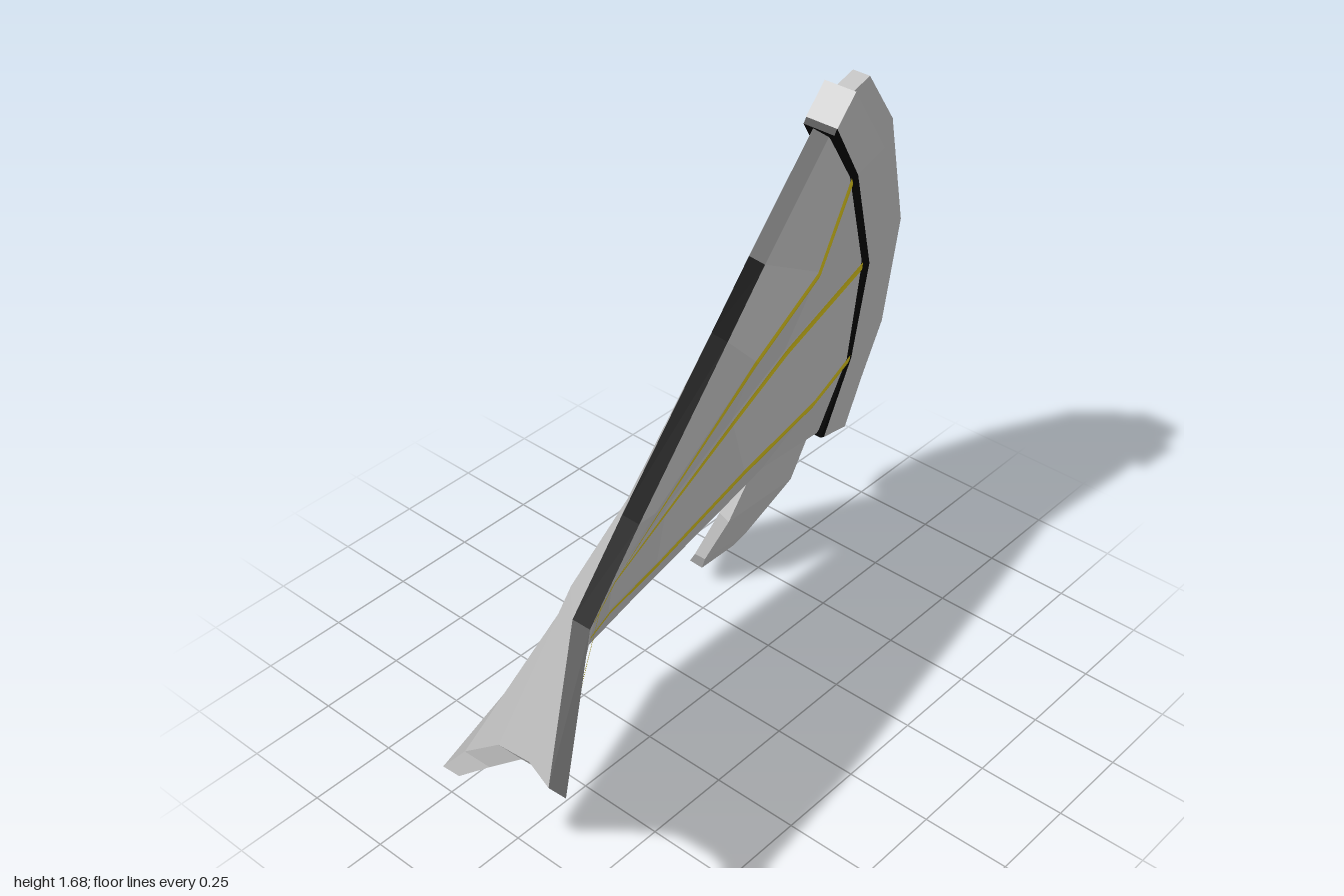
import * as THREE from 'three';

const grey = new THREE.MeshStandardMaterial({ color: 0xc2c2c2 });
grey.name = 'plate grey';
const black = new THREE.MeshStandardMaterial({ color: 0x020202 });
black.name = 'edge black';
const yellow = new THREE.MeshStandardMaterial({ color: 0xd4bf1c });
yellow.name = 'line yellow';

const vec = (p) => new THREE.Vector3(...p);

// Faceted sheet: columns run left to right, points in a column run top to bottom.
// Each four-sided facet is split on its shorter diagonal and shaded with one normal.
function sheet(name, columns, material) {
  const pos = [], nor = [];
  for (let i = 0; i < columns.length - 1; i++) {
    for (let j = 0; j < columns[i].length - 1; j++) {
      const [a, b, c, d] = [columns[i][j], columns[i][j + 1], columns[i + 1][j + 1], columns[i + 1][j]];
      const ac = vec(c).sub(vec(a)), bd = vec(d).sub(vec(b));
      if (ac.length() < bd.length()) pos.push(...a, ...b, ...c, ...a, ...c, ...d);
      else pos.push(...a, ...b, ...d, ...b, ...c, ...d);
      const n = ac.cross(bd).normalize().toArray();
      for (let k = 0; k < 6; k++) nor.push(...n);
    }
  }
  const geometry = new THREE.BufferGeometry();
  geometry.setAttribute('position', new THREE.Float32BufferAttribute(pos, 3));
  geometry.setAttribute('normal', new THREE.Float32BufferAttribute(nor, 3));
  const mesh = new THREE.Mesh(geometry, material);
  mesh.name = name;
  return mesh;
}

// Solid bar from four corner paths: front left, front right, back right, back left
function bar(name, paths, faceMaterial, sideMaterial) {
  const group = new THREE.Group();
  group.name = name;
  const faces = ['Front', 'RightSide', 'Back', 'LeftSide'];
  paths.forEach((path, k) => {
    group.add(sheet(name + faces[k], [path, paths[(k + 1) % 4]], k % 2 ? sideMaterial : faceMaterial));
  });
  const [fl, fr, br, bl] = paths;
  const n = fl.length - 1;
  group.add(sheet(name + 'Top', [[bl[0], fl[0]], [br[0], fr[0]]], faceMaterial));
  group.add(sheet(name + 'Bottom', [[fl[n], bl[n]], [fr[n], br[n]]], faceMaterial));
  return group;
}

const shift = (path, dx, dy, dz) => path.map(([x, y, z]) => [x + dx, y + dy, z + dz]);

// Strip that hugs both facets beside a ridge of the panel
function ridgeLine(name, columns, row, width) {
  const toward = (p, q, w) => vec(p).addScaledVector(vec(q).sub(vec(p)).normalize(), w).toArray();
  const strip = columns.map((c, i) => {
    const w = i === 0 ? width * 0.5 : width;
    return [toward(c[row], c[row - 1], w), c[row], toward(c[row], c[row + 1], w)];
  });
  return sheet(name, strip.map((s) => shift(s, 0.002, -0.003, 0.006)), yellow);
}

export function createModel() {
  const model = new THREE.Group();
  model.name = 'armourPlate';

  // Curved panel, columns from the notched end to the rim
  const front = [
    [[-0.985, 0.62, 0.44], [-0.925, 0.575, 0.35], [-0.895, 0.52, 0.2], [-0.91, 0.44, 0.1], [-0.94, 0.38, 0.02]],
    [[-0.78, 0.92, 0.33], [-0.64, 0.85, 0.22], [-0.42, 0.69, 0.05], [-0.33, 0.47, -0.06], [-0.31, 0.295, -0.15]],
    [[-0.53, 1.03, 0.25], [-0.39, 0.94, 0.17], [-0.18, 0.755, 0.01], [-0.14, 0.51, -0.065], [-0.12, 0.335, -0.16]],
    [[-0.05, 1.23, 0.1], [0.08, 1.1, 0.08], [0.13, 0.84, -0.04], [0.23, 0.6, -0.08], [0.18, 0.405, -0.165]],
    [[0.17, 1.32, 0.03], [0.4, 1.19, 0.02], [0.39, 0.91, -0.08], [0.55, 0.65, -0.1], [0.42, 0.455, -0.175]],
    [[0.43, 1.58, 0.02], [0.59, 1.38, -0.03], [0.78, 1.0, -0.12], [0.81, 0.64, -0.18], [0.76, 0.37, -0.24]],
  ];
  // The panel is thicker in the middle than along its edges
  const thickness = [0.042, 0.078, 0.065, 0.072, 0.042];
  const back = front.map((c) => c.map(([x, y, z], j) => [x - 0.012, y + 0.014, z - thickness[j]]));
  const last = front[0].length - 1;
  const panel = new THREE.Group();
  panel.name = 'panel';
  panel.add(sheet('panelFront', front, grey));
  panel.add(sheet('panelBack', [...back].reverse(), grey));
  panel.add(sheet('notchedEnd', [back[0], front[0]], grey));
  panel.add(sheet('panelTopEdge', front.map((c, i) => [back[i][0], c[0]]), black));
  panel.add(sheet('panelBottomEdge', front.map((c, i) => [c[last], back[i][last]]), black));
  for (let row = 1; row < last; row++) panel.add(ridgeLine('ridgeLine' + row, front, row, 0.015));
  model.add(panel);

  // Stepped rim: black trim, thick inner band and thinner outer band
  const trim = [[0.405, 1.59, 0], [0.573, 1.38, -0.06], [0.763, 1.0, -0.15], [0.793, 0.64, -0.22], [0.743, 0.365, -0.27]];
  const inner = [[0.415, 1.605, 0], [0.588, 1.385, -0.06], [0.778, 1.0, -0.15], [0.808, 0.64, -0.22], [0.758, 0.36, -0.27]];
  const middle = [[0.485, 1.68, 0], [0.7, 1.42, -0.06], [0.88, 1.03, -0.15], [0.92, 0.64, -0.225], [0.865, 0.34, -0.275]];
  const outerStart = [[0.5, 1.655, -0.008], ...shift(middle.slice(1, 4), 0, 0, -0.008), [0.87, 0.37, -0.28]];
  const outer = [[0.585, 1.675, -0.012], [0.75, 1.48, -0.055], [0.96, 1.05, -0.16], [1.0, 0.66, -0.235], [0.945, 0.39, -0.282]];
  const band = (name, a, b, t, face, side) => bar(name,
    [shift(a, 0, 0, t), shift(b, 0, 0, t), shift(b, 0, 0, -t), shift(a, 0, 0, -t)], face, side);
  model.add(band('innerTrim', trim, inner, 0.049, black, black));
  model.add(band('innerBand', inner, middle, 0.05, grey, black));
  model.add(band('outerBand', outerStart, outer, 0.027, grey, grey));

  // Bent tab below the panel
  model.add(bar('tab', [
    [[0.43, 0.48, -0.195], [0.34, 0.28, -0.23], [0.315, 0.12, -0.3], [0.33, 0.065, -0.325]],
    [[0.72, 0.42, -0.235], [0.7, 0.2, -0.295], [0.56, 0.04, -0.355], [0.53, 0.003, -0.375]],
    [[0.715, 0.42, -0.27], [0.695, 0.21, -0.335], [0.58, 0.05, -0.42], [0.56, 0.02, -0.44]],
    [[0.43, 0.48, -0.23], [0.345, 0.29, -0.27], [0.305, 0.13, -0.33], [0.3, 0.1, -0.345]],
  ], grey, grey));

  return model;
}
